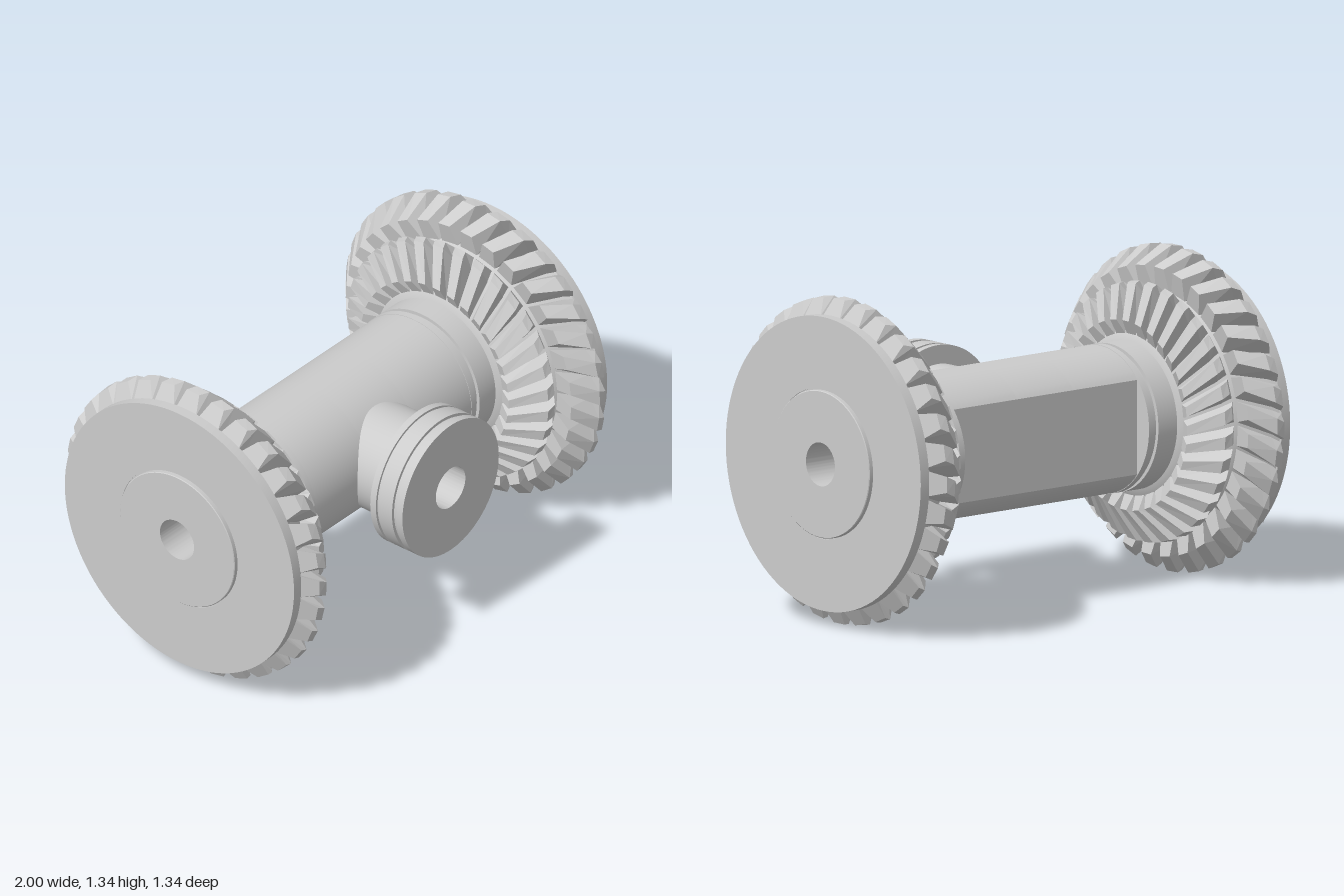
import * as THREE from 'three';
import { toCreasedNormals, mergeGeometries } from 'three/addons/utils/BufferGeometryUtils.js';

const TEETH = 32, R = 0.303, BORE = 0.09;
const material = new THREE.MeshStandardMaterial({ color: 0xcccccc });

function part(name, geometry, parent) {
  const mesh = new THREE.Mesh(geometry, material);
  mesh.name = name;
  parent.add(mesh);
  return mesh;
}

// Turned part from [radius, position] pairs along the x or z axis
function turned(points, axis) {
  const g = new THREE.LatheGeometry(points.map(p => new THREE.Vector2(...p)), 96);
  if (axis === 'x') g.rotateZ(-Math.PI / 2);
  else g.rotateX(Math.PI / 2);
  return toCreasedNormals(g, 0.5);
}

// Slice of the housing: round, flat at the back, optionally open at the front
function housingSlice(x0, x1, open) {
  const outline = (r, from, to) => {
    const pts = [];
    for (let d = from; d <= to; d += 4) {
      const a = THREE.MathUtils.degToRad(d);
      pts.push(new THREE.Vector2(-Math.max(-0.23, r * Math.cos(a)), r * Math.sin(a)));
    }
    return pts;
  };
  let shape;
  if (open) {
    shape = new THREE.Shape([...outline(R, 28, 332), ...outline(0.18, 56, 304).reverse()]);
  } else {
    shape = new THREE.Shape(outline(R, 0, 356));
    shape.holes.push(new THREE.Path(outline(0.18, 0, 356)));
  }
  const g = new THREE.ExtrudeGeometry(shape, { depth: x1 - x0, bevelEnabled: false });
  g.rotateY(Math.PI / 2).translate(x0, 0, 0);
  return toCreasedNormals(g, 0.4);
}

// Ring of slanted teeth; a section is [rootX, rootR, tipX, tipR, slant angle]
function toothRing(sections) {
  const pos = [], index = [];
  for (const [rx, rr, tx, tr, a] of sections) {
    for (const [x, r, w] of [[rx, rr, -0.087], [tx, tr, -0.05], [tx, tr, 0.05], [rx, rr, 0.087]]) {
      pos.push(x, r * Math.cos(a + w), r * Math.sin(a + w));
    }
  }
  index.push(0, 1, 2, 0, 2, 3);
  const last = (sections.length - 1) * 4;
  for (let s = 0; s < last; s += 4) {
    for (let k = 0; k < 3; k++) {
      const a = s + k, b = a + 4;
      index.push(a, b, b + 1, a, b + 1, a + 1);
    }
  }
  index.push(last, last + 2, last + 1, last, last + 3, last + 2);
  let tooth = new THREE.BufferGeometry();
  tooth.setAttribute('position', new THREE.Float32BufferAttribute(pos, 3));
  tooth.setIndex(index);
  tooth = tooth.toNonIndexed();
  tooth.computeVertexNormals();
  const all = [];
  for (let i = 0; i < TEETH; i++) all.push(tooth.clone().rotateX(i * 2 * Math.PI / TEETH));
  return mergeGeometries(all);
}

// One end: collar, gear blank with hub, and two rings of teeth
function gearEnd(name) {
  const end = new THREE.Group();
  end.name = name;
  part('collar', turned([
    [0.17, 0.49], [0.305, 0.49], [0.305, 0.52], [0.29, 0.52],
    [0.29, 0.54], [0.305, 0.54], [0.305, 0.64],
  ], 'x'), end);
  part('gearBlank', turned([
    [0.3, 0.64], [0.33, 0.65], [0.49, 0.775], [0.505, 0.8], [0.595, 0.94],
    [0.605, 0.94], [0.605, 0.985], [0.31, 0.985], [0.31, 0.98], [0.303, 0.98],
    [0.303, 0.997], [0.3, 1], [BORE, 1],
  ], 'x'), end);
  part('outerTeeth', toothRing([
    [0.942, 0.6, 0.9, 0.668, 0],
    [0.915, 0.575, 0.86, 0.672, -0.03],
    [0.795, 0.495, 0.77, 0.595, -0.13],
  ]), end);
  part('innerTeeth', toothRing([
    [0.785, 0.49, 0.74, 0.535, -0.13],
    [0.755, 0.455, 0.705, 0.53, -0.1],
    [0.655, 0.325, 0.62, 0.39, 0.02],
  ]), end);
  return end;
}

export function createModel() {
  const model = new THREE.Group();
  model.name = 'gearedTeeFitting';
  const body = new THREE.Group();
  body.name = 'fitting';
  body.position.y = 0.675;
  model.add(body);

  // Housing, left open where the side branch enters
  part('housingRight', housingSlice(-0.49, -0.15, false), body);
  part('housingMiddle', housingSlice(-0.15, 0.15, true), body);
  part('housingLeft', housingSlice(0.15, 0.49, false), body);

  // Bores, facing inward
  part('mainBore', turned([[BORE, 1], [BORE, -1]], 'x'), body);
  part('branchBore', turned([[0.093, 0.605], [0.093, 0.085]], 'z'), body);

  // Side branch with grooved collar
  part('branchNeck', turned([[0.225, 0.19], [0.225, 0.44]], 'z'), body);
  part('branchCollar', turned([
    [0.2, 0.435], [0.303, 0.435], [0.303, 0.465], [0.293, 0.465], [0.293, 0.48],
    [0.303, 0.48], [0.303, 0.55], [0.29, 0.55], [0.29, 0.572], [0.303, 0.572],
    [0.303, 0.605], [0.093, 0.605],
  ], 'z'), body);

  // Matching gears at both ends, the second turned round
  body.add(gearEnd('leftGear'));
  const right = gearEnd('rightGear');
  right.rotation.y = Math.PI;
  body.add(right);
  return model;
}
